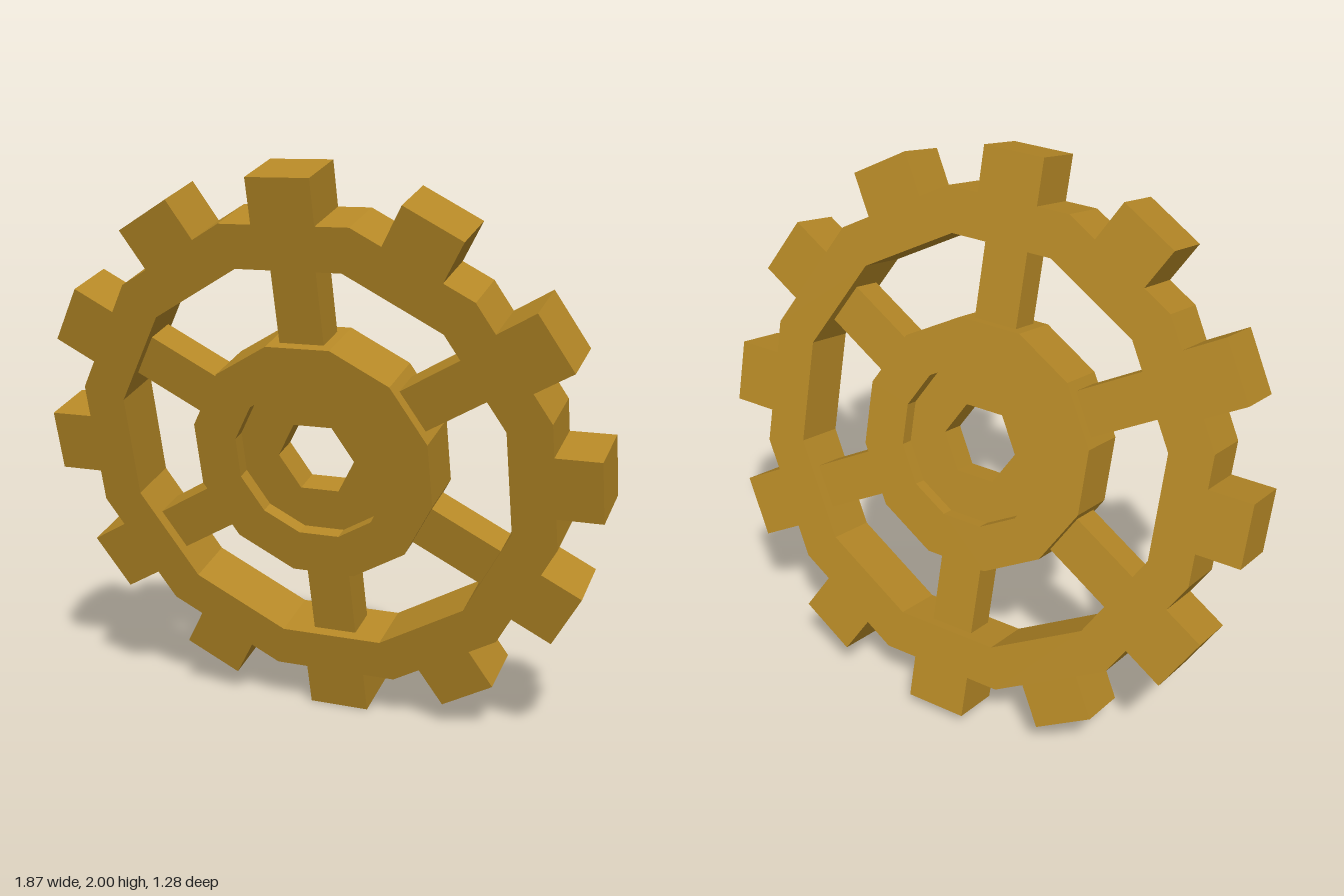
import * as THREE from 'three';

const TEETH = 12;
const SPOKES = 6;
const THICK = 0.2;

// Corners of a regular polygon with a flat side at the top, sized by its apothem
function polygon(sides, apothem) {
  const radius = apothem / Math.cos(Math.PI / sides);
  return Array.from({ length: sides }, (_, i) => {
    const a = Math.PI / 2 + ((i + 0.5) * 2 * Math.PI) / sides;
    return new THREE.Vector2(radius * Math.cos(a), radius * Math.sin(a));
  });
}

// Polygonal plate with a polygonal hole, centred on its own thickness
function plate(name, outerSides, outer, innerSides, inner, depth, material) {
  const shape = new THREE.Shape(polygon(outerSides, outer));
  shape.holes.push(new THREE.Path(polygon(innerSides, inner)));
  const geometry = new THREE.ExtrudeGeometry(shape, { depth, bevelEnabled: false });
  geometry.translate(0, 0, -depth / 2);
  const mesh = new THREE.Mesh(geometry, material);
  mesh.name = name;
  return mesh;
}

// Blocks repeated around the axle, reaching from radius r0 to r1
function radialBlocks(name, count, width, r0, r1, depth, material) {
  const group = new THREE.Group();
  group.name = name + 's';
  const geometry = new THREE.BoxGeometry(width, r1 - r0, depth);
  geometry.translate(0, (r0 + r1) / 2, 0);
  for (let i = 0; i < count; i++) {
    const block = new THREE.Mesh(geometry, material);
    block.name = name;
    block.rotation.z = (i * 2 * Math.PI) / count;
    group.add(block);
  }
  return group;
}

export function createModel() {
  const brass = new THREE.MeshStandardMaterial({ color: 0xb58826 });
  brass.name = 'brass';

  const gear = new THREE.Group();
  gear.name = 'gear';
  gear.add(
    plate('rim', 12, 0.852, 12, 0.7, THICK, brass),
    radialBlocks('tooth', TEETH, 0.222, 0.852, 1.008, THICK, brass),
    radialBlocks('spoke', SPOKES, 0.16, 0.42, 0.71, 0.12, brass),
    plate('hub', 12, 0.43, 12, 0.275, THICK, brass),
    // Recessed web with the hexagonal axle hole
    plate('hubWeb', 12, 0.275, 6, 0.122, 0.1, brass)
  );

  // Turned to one side and tipped forward
  gear.rotation.set(Math.PI / 12, -Math.PI / 6, 0, 'YXZ');
  gear.position.y = 1;

  const model = new THREE.Group();
  model.name = 'gearWheel';
  model.add(gear);
  return model;
}
